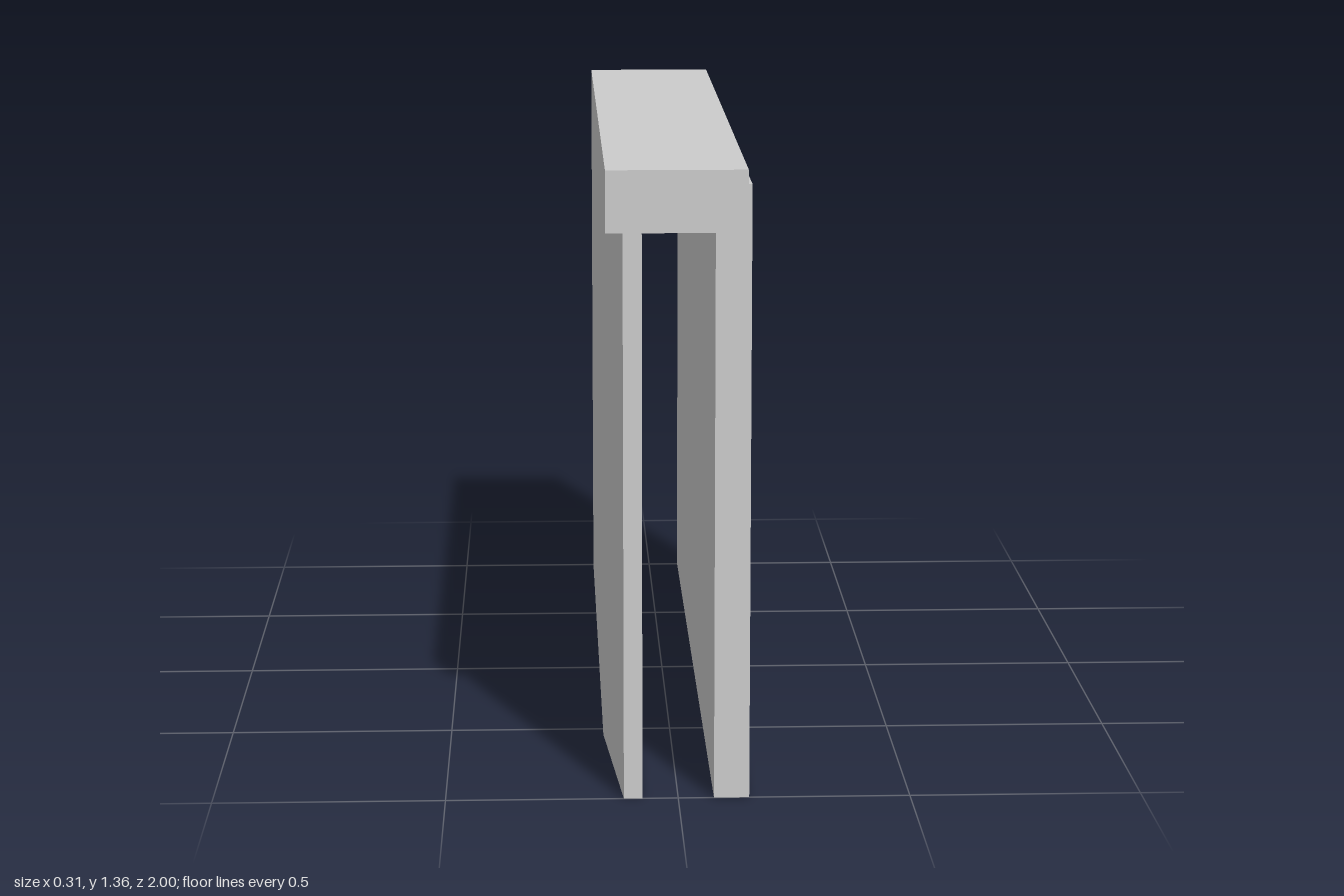
import * as THREE from 'three';

const material = new THREE.MeshStandardMaterial({ color: 0xcccccc, flatShading: true });

// Upright slab: a plan outline of [x, z] corners raised from y0 to y1
function slab(name, plan, y0, y1) {
  const shape = new THREE.Shape(plan.map(([x, z]) => new THREE.Vector2(x, -z)));
  const geometry = new THREE.ExtrudeGeometry(shape, { depth: y1 - y0, bevelEnabled: false });
  geometry.rotateX(-Math.PI / 2).translate(0, y0, 0);
  const mesh = new THREE.Mesh(geometry, material);
  mesh.name = name;
  return mesh;
}

export function createModel() {
  const group = new THREE.Group();
  group.name = 'slottedCover';
  const W = 0.153, slot = 0.077, slotTop = 1.228, ledge = 1.33, top = 1.36;

  // Straight wall on the left
  group.add(slab('leftWall', [[slot, 1], [W, 1], [W, -1], [slot, -1]], 0, slotTop));

  // Right wall, thinning towards the front
  group.add(slab('rightWall',
    [[-W, -1], [-W, 0.545], [-0.117, 1], [-slot, 1], [-slot, -1]], 0, slotTop));

  // Bridge closing the slot
  group.add(slab('bridge', [[-W, 1], [W, 1], [W, -1], [-W, -1]], slotTop, ledge));

  // Top strip, its left edge drawn in slightly towards the front
  group.add(slab('topStrip', [[-W, 1], [0.145, 1], [W, -1], [-W, -1]], ledge, top));

  return group;
}
